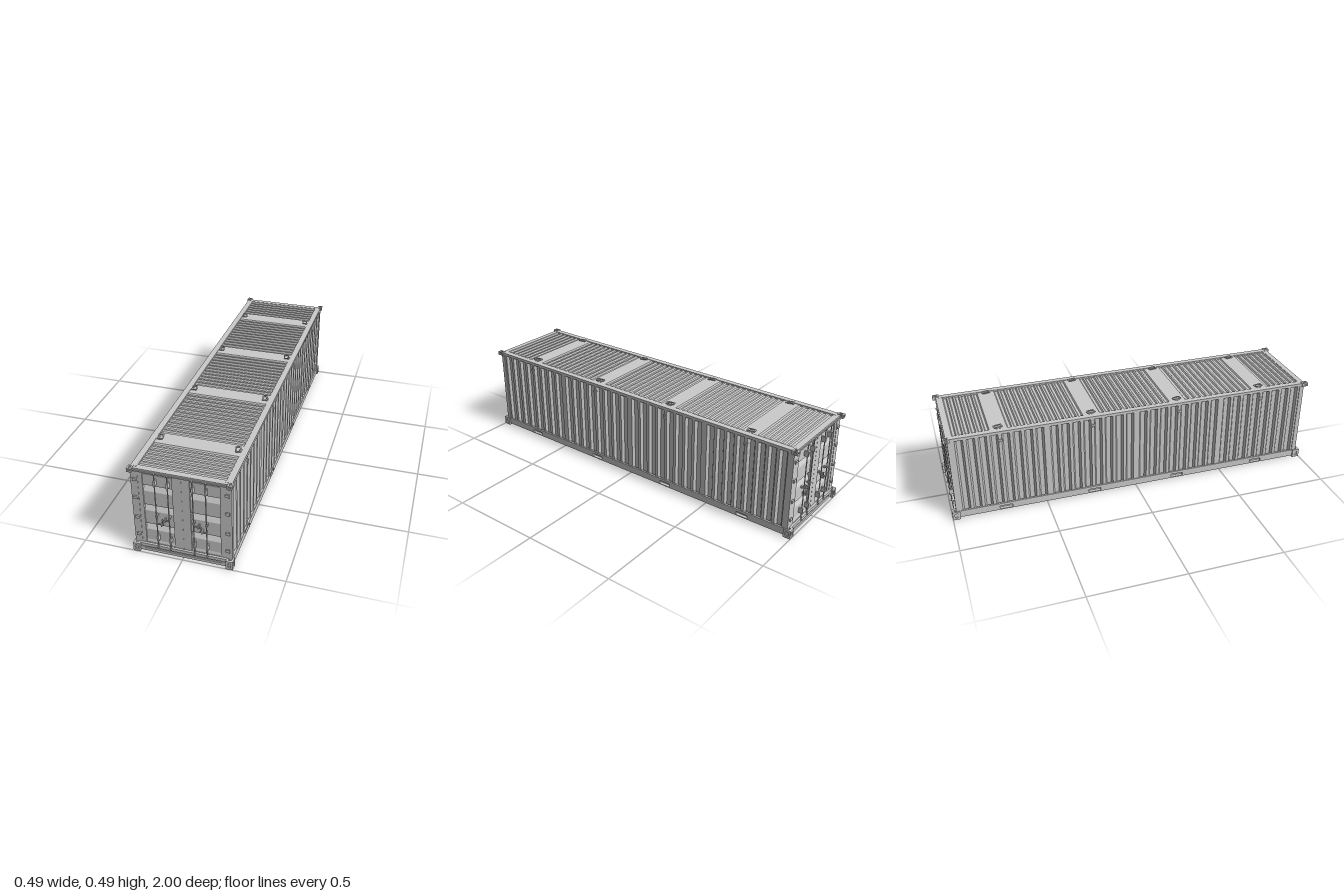
import * as THREE from 'three';

const mat = new THREE.MeshStandardMaterial({ color: 0xcccccc });

function add(parent, name, geo, x = 0, y = 0, z = 0) {
  const m = new THREE.Mesh(geo, mat);
  m.name = name;
  m.position.set(x, y, z);
  parent.add(m);
  return m;
}

// Box given by its limits on each axis
function slab(parent, name, x0, x1, y0, y1, z0, z1) {
  return add(parent, name, new THREE.BoxGeometry(x1 - x0, y1 - y0, z1 - z0),
    (x0 + x1) / 2, (y0 + y1) / 2, (z0 + z1) / 2);
}

function rect(S, x0, x1, y0, y1, r = 0) {
  const s = new S();
  if (!r) return s.setFromPoints([[x0, y0], [x1, y0], [x1, y1], [x0, y1], [x0, y0]].map(p => new THREE.Vector2(...p)));
  s.absarc(x1 - r, y1 - r, r, 0, Math.PI / 2);
  s.absarc(x0 + r, y1 - r, r, Math.PI / 2, Math.PI);
  s.absarc(x0 + r, y0 + r, r, Math.PI, Math.PI * 1.5);
  s.absarc(x1 - r, y0 + r, r, Math.PI * 1.5, Math.PI * 2);
  return s;
}

// Flat plate with holes, each hole given as [x0, x1, y0, y1, radius]
function plate(outer, holes, depth) {
  const s = rect(THREE.Shape, ...outer);
  s.holes = holes.map(h => rect(THREE.Path, ...h));
  return new THREE.ExtrudeGeometry(s, { depth, bevelEnabled: false, curveSegments: 4 });
}

// Folded sheet: a profile of [position, height] drawn out along a width
function sheet(points, width, back, X, Y, Z) {
  const first = points[0][0], last = points[points.length - 1][0];
  const s = new THREE.Shape([...points, [last, back], [first, back]].map(p => new THREE.Vector2(...p)));
  const g = new THREE.ExtrudeGeometry(s, { depth: width, bevelEnabled: false });
  g.translate(0, 0, -width / 2);
  const v = a => new THREE.Vector3(...a);
  return g.applyMatrix4(new THREE.Matrix4().makeBasis(v(X), v(Y), v(Z)));
}

// Trapezoid grooves between a and b
function grooves(a, b, count, depth) {
  const p = (b - a) / count, out = [];
  for (let i = 0; i < count; i++) {
    const c = a + (i + 0.5) * p;
    out.push([c - p * 0.36, 0], [c - p * 0.2, -depth], [c + p * 0.2, -depth], [c + p * 0.36, 0]);
  }
  return out;
}

// Corner block with a slot in each outer face
function casting(w, h, d, name) {
  const g = new THREE.Group();
  g.name = name;
  const t = 0.006;
  const face = (a, b) => plate([-a / 2, a / 2, -b / 2, b / 2, 0.002],
    [[-a * 0.22, a * 0.22, -b * 0.25, b * 0.25, Math.min(a, b) * 0.12]], t);
  add(g, 'castingCore', new THREE.BoxGeometry(w - 2 * t, h - 2 * t, d - 2 * t));
  add(g, 'castingEnd', face(w, h), 0, 0, d / 2 - t);
  add(g, 'castingInner', new THREE.BoxGeometry(w, h, t), 0, 0, -d / 2 + t / 2);
  for (const s of [-1, 1]) {
    add(g, 'castingSide', face(d - 0.002, h), s * w / 2, 0, 0).rotation.y = s * Math.PI / 2;
    g.children[g.children.length - 1].position.x = s * (w / 2 - t);
    add(g, 'castingCap', face(w, d - 0.002), 0, s * (h / 2 - t), 0).rotation.x = -s * Math.PI / 2;
  }
  return g;
}

function makeEnd() {
  const g = new THREE.Group();
  g.name = 'doorEnd';
  const face = 0.977;
  // Door leaves with two recessed panels
  add(g, 'doorFrame', plate([-0.206, 0.206, 0.045, 0.463],
    [[-0.184, -0.042, 0.05, 0.458], [0.042, 0.184, 0.05, 0.458]], 0.02), 0, 0, face - 0.02);
  const prof = [[0.046, -0.001], [0.065, -0.006]];
  for (const y of [0.157, 0.268, 0.38])
    prof.push([y - 0.031, -0.006], [y - 0.003, -0.02], [y + 0.004, -0.006]);
  prof.push([0.44, -0.006], [0.46, -0.001]);
  const panel = sheet(prof, 0.143, -0.027, [0, 1, 0], [0, 0, 1], [1, 0, 0]);
  slab(g, 'doorSeal', -0.003, 0.003, 0.047, 0.46, face, face + 0.0008);
  // Header and sill
  slab(g, 'header', -0.226, 0.226, 0.461, 0.477, 0.955, 0.984);
  slab(g, 'headerLip', -0.224, 0.224, 0.462, 0.469, 0.984, 0.988);
  slab(g, 'sillTop', -0.215, 0.215, 0.03, 0.047, 0.955, 0.988);
  slab(g, 'sillWeb', -0.215, 0.215, 0.006, 0.046, 0.957, 0.982);
  slab(g, 'sillFoot', -0.215, 0.215, 0.005, 0.02, 0.955, 0.988);

  for (const s of [-1, 1]) {
    add(g, 'doorPanel', panel, s * 0.113, 0, face);
    slab(g, 'cornerPost', s * 0.2225 - 0.0175, s * 0.2225 + 0.0175, 0.04, 0.465, 0.955, 0.979);
    slab(g, 'sillBracket', s * 0.201 - 0.012, s * 0.201 + 0.012, 0.018, 0.03, 0.975, 0.99);
    const low = casting(0.034, 0.047, 0.04, 'bottomCasting');
    low.position.set(s * 0.23, 0.0235, 0.98);
    const top = casting(0.024, 0.02, 0.034, 'topCasting');
    top.position.set(s * 0.235, 0.471, 0.983);
    g.add(low, top);

    // Hinges, tapering outward
    for (const y of [0.413, 0.311, 0.197, 0.095]) {
      const h = new THREE.Shape([[0.209, -0.005], [0.215, -0.008], [0.229, -0.008], [0.229, 0.008], [0.215, 0.008], [0.209, 0.005]]
        .map(p => new THREE.Vector2(s * p[0], p[1])));
      add(g, 'hinge', new THREE.ExtrudeGeometry(h, { depth: 0.008, bevelEnabled: false }), 0, y, 0.978);
    }
    // Locking rods with guides and end cams
    for (const x of [0.059, 0.121]) {
      const X = s * x;
      add(g, 'lockRod', new THREE.CylinderGeometry(0.0028, 0.0028, 0.425, 10), X, 0.2535, 0.988);
      for (const y of [0.094, 0.413]) {
        slab(g, 'rodGuide', X - 0.0045, X + 0.0045, y - 0.014, y + 0.014, 0.972, 0.994);
      }
      slab(g, 'rodCollar', X - 0.0045, X + 0.0045, 0.222, 0.23, 0.97, 0.993);
      for (const y of [0.041, 0.465])
        add(g, 'rodCam', new THREE.CylinderGeometry(0.004, 0.004, 0.012, 10), X, y, 0.989).rotation.x = Math.PI / 2;
    }
    // Handles and their catches
    for (const [x0, x1, y, c] of [[0.059, 0.096, 0.208, 0.081], [0.087, 0.121, 0.181, 0.098]]) {
      const mid = s * (x0 + x1) / 2, half = (x1 - x0) / 2;
      slab(g, 'handle', mid - half, mid + half, y - 0.002, y + 0.002, 0.985, 0.99);
      slab(g, 'catch', s * c - 0.002, s * c + 0.002, y - 0.009, y + 0.009, 0.97, 0.992);
      slab(g, 'catchPlate', s * c - 0.004, s * c + 0.004, y + 0.003, y + 0.007, 0.97, 0.993);
    }
    slab(g, 'handleDrop', s * 0.094 - 0.0015, s * 0.094 + 0.0015, 0.181, 0.208, 0.985, 0.989);
  }
  return g;
}

const bays = [-0.72, -0.238, 0.238, 0.72];

function makeSide() {
  const g = new THREE.Group();
  g.name = 'side';
  // Corrugated wall in four panels
  const prof = [[-0.965, 0]];
  for (let i = 0; i < 4; i++) {
    const a = -0.96 + i * 0.48;
    prof.push(...grooves(a + 0.008, a + 0.472, 8, 0.014));
  }
  prof.push([0.965, 0]);
  add(g, 'sideWall', sheet(prof, 0.425, -0.02, [0, 0, 1], [1, 0, 0], [0, 1, 0]), 0.236, 0.2535, 0);
  slab(g, 'topRail', 0.209, 0.24, 0.462, 0.478, -0.97, 0.97);
  // Bottom rail with fork pockets
  const rail = plate([-0.965, 0.965, 0.008, 0.046], bays.map(z => [z - 0.034, z + 0.034, 0.013, 0.031, 0.003]), 0.01);
  add(g, 'bottomRail', rail, 0.23, 0, 0).rotation.y = Math.PI / 2;
  slab(g, 'railFlange', 0.214, 0.24, 0.008, 0.012, -0.965, 0.965);
  for (const z of bays) {
    slab(g, 'pocketBack', 0.216, 0.222, 0.01, 0.04, z - 0.04, z + 0.04);
    // Small lashing hook below the top rail
    slab(g, 'hookPlate', 0.225, 0.24, 0.423, 0.432, z - 0.012, z + 0.012);
    add(g, 'hookPin', new THREE.CylinderGeometry(0.007, 0.007, 0.012, 10), 0.234, 0.414, z).rotation.z = Math.PI / 2;
    // Tilted lifting ring on the roof
    const ring = add(g, 'liftingRing', plate([-0.014, 0.014, -0.023, 0.023, 0.007], [[-0.008, 0.008, -0.016, 0.016, 0.004]], 0.004), 0.191, 0.481, z);
    ring.rotation.set(-Math.PI / 2, 0.2, 0, 'ZYX');
    slab(g, 'ringFoot', 0.196, 0.208, 0.472, 0.479, z - 0.012, z + 0.012);
  }
  return g;
}

export function createModel() {
  const model = new THREE.Group();
  model.name = 'shippingContainer';
  // Both ends and both sides are the same, turned about
  for (const turn of [0, Math.PI]) {
    const end = makeEnd(), side = makeSide();
    end.rotation.y = side.rotation.y = turn;
    model.add(end, side);
  }
  // Ribbed roof with flat strips under the lifting rings
  const roof = [[-0.965, 0]];
  const spans = [[-0.955, -0.76, 6], [-0.68, -0.278, 12], [-0.198, 0.198, 12], [0.278, 0.68, 12], [0.76, 0.955, 6]];
  for (const [a, b, n] of spans) roof.push(...grooves(a, b, n, 0.007));
  roof.push([0.965, 0]);
  add(model, 'roof', sheet(roof, 0.42, -0.012, [0, 0, 1], [0, 1, 0], [-1, 0, 0]), 0, 0.475, 0);
  // Floor and cross beams
  slab(model, 'floor', -0.222, 0.222, 0.04, 0.046, -0.96, 0.96);
  for (let i = 0; i < 12; i++) {
    const z = -0.825 + i * 0.15;
    slab(model, 'crossBeam', -0.218, 0.218, 0.014, 0.041, z - 0.009, z + 0.009);
  }
  return model;
}
